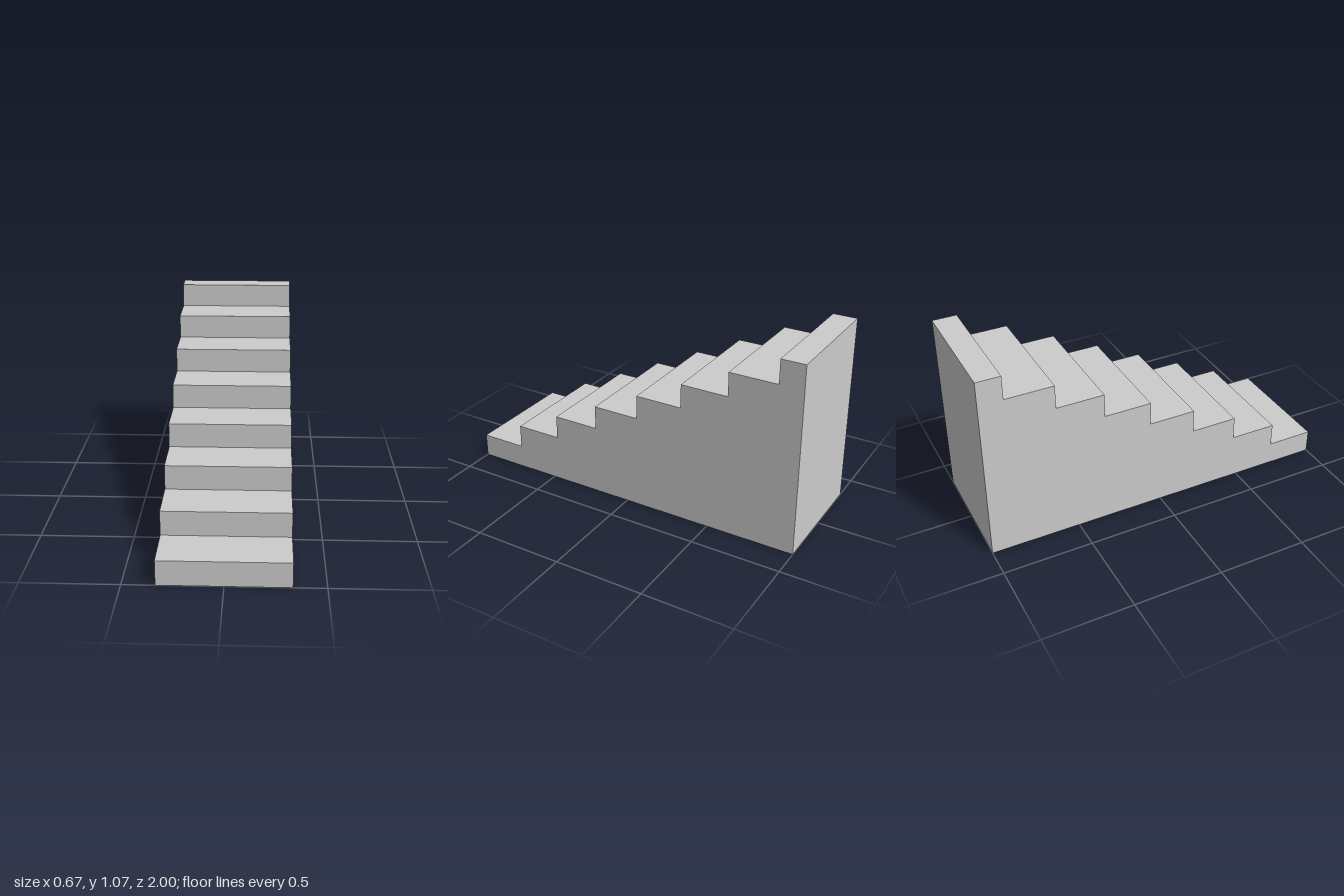
import * as THREE from 'three';

const STEPS = 8;
const RISE = 2 / 15;
const TREAD = 4 / 15;
const WIDTH = 2 / 3;

export function createModel() {
  const group = new THREE.Group();
  group.name = 'staircase';

  // Side profile: climbs from the front; the last tread is cut off at the back
  const profile = new THREE.Shape();
  profile.moveTo(-1, 0);
  for (let i = 0; i < STEPS; i++) {
    const y = (i + 1) * RISE;
    profile.lineTo(-1 + i * TREAD, y);
    profile.lineTo(Math.min(-1 + (i + 1) * TREAD, 1), y);
  }
  profile.lineTo(1, 0);
  profile.closePath();

  // Extrude across the width, then turn so the low end faces +z
  const geometry = new THREE.ExtrudeGeometry(profile, { depth: WIDTH, bevelEnabled: false });
  geometry.translate(0, 0, -WIDTH / 2);
  geometry.rotateY(Math.PI / 2);

  const material = new THREE.MeshStandardMaterial({ color: 0xcccccc, flatShading: true });
  const stairs = new THREE.Mesh(geometry, material);
  stairs.name = 'solidSteps';
  group.add(stairs);
  return group;
}
